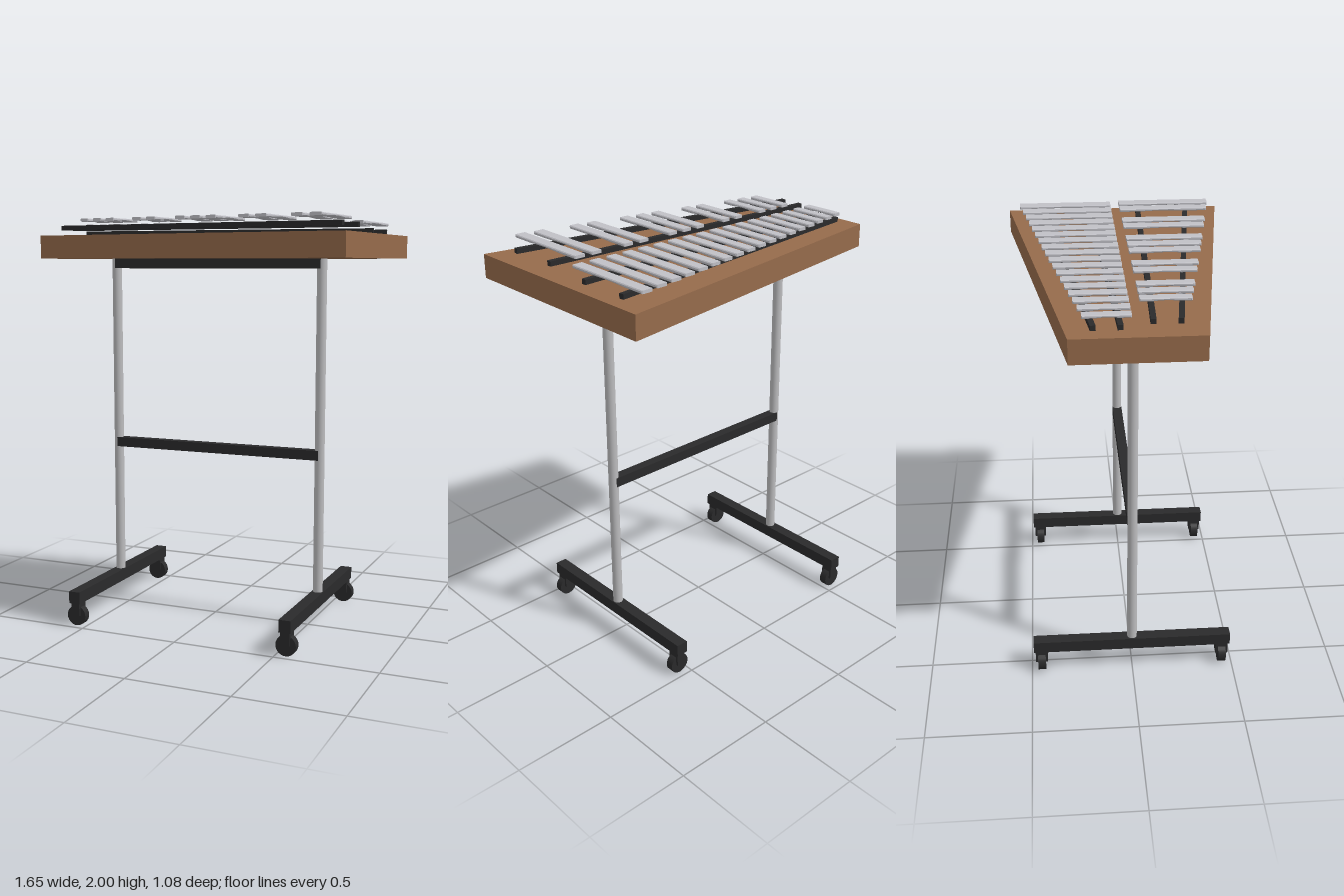
import * as THREE from 'three';

const mat = (name, color) => {
  const m = new THREE.MeshStandardMaterial({ color });
  m.name = name;
  return m;
};

export function createModel() {
  const wood = mat('wood', 0x966b4b);
  const steel = mat('steel', 0xbcbcbe);
  const barMetal = mat('barMetal', 0xc0c0c6);
  const black = mat('black', 0x2a2a2b);

  const root = new THREE.Group();
  root.name = 'glockenspielOnStand';
  const add = (name, geo, material, x = 0, y = 0, z = 0, parent = root) => {
    const m = new THREE.Mesh(geo, material);
    m.name = name;
    m.position.set(x, y, z);
    parent.add(m);
    return m;
  };

  // Tapered wooden case
  const outline = new THREE.Shape();
  outline.moveTo(-0.826, -0.285).lineTo(0.826, -0.541);
  outline.lineTo(0.826, 0.541).lineTo(-0.826, 0.285).closePath();
  const caseGeo = new THREE.ExtrudeGeometry(outline, { depth: 0.113, bevelEnabled: false });
  caseGeo.rotateX(-Math.PI / 2);
  add('woodenCase', caseGeo, wood, 0, 1.805, 0);

  // Slanted support rails: [z at narrow end, z at wide end, height]
  const rails = [
    [-0.18, -0.376, 1.935], [-0.068, -0.126, 1.935],
    [0.064, 0.121, 1.957], [0.177, 0.374, 1.957],
  ];
  for (const [z0, z1, y] of rails) {
    const run = 1.524;
    const rail = add('supportRail', new THREE.BoxGeometry(Math.hypot(run, z1 - z0), 0.023, 0.024),
      black, 0, y, (z0 + z1) / 2);
    rail.rotation.y = -Math.atan2(z1 - z0, run);
  }

  // Bevelled tone bar with a shallow arch cut in its underside
  const toneBar = (name, x, zNear, zFar, width, yBottom) => {
    const b = 0.004, thick = 0.015;
    const len = Math.abs(zFar - zNear);
    const h = len / 2 - b;
    const s = new THREE.Shape();
    s.moveTo(-h, b).lineTo(-h * 0.5, b);
    s.quadraticCurveTo(0, b + 0.007, h * 0.5, b);
    s.lineTo(h, b).lineTo(h, thick - b).lineTo(-h, thick - b).closePath();
    const geo = new THREE.ExtrudeGeometry(s, {
      depth: width - 2 * b, bevelEnabled: true, bevelSegments: 1,
      bevelSize: b, bevelThickness: b, curveSegments: 8,
    });
    geo.translate(0, 0, -(width - 2 * b) / 2);
    geo.rotateY(Math.PI / 2);
    add(name, geo, barMetal, x, yBottom, (zNear + zFar) / 2);
  };

  const barX = (i) => -0.718 + 0.0772 * i + 0.000415 * i * i;
  const barWidth = (i) => 0.045 + 0.0008 * i;

  // Back row of naturals
  for (let i = 0; i < 18; i++) {
    toneBar('naturalBar', barX(i), -0.021, -0.225 - 0.0152 * i, barWidth(i), 1.966);
  }
  // Raised front row of accidentals
  for (const i of [1, 2, 3, 5, 6, 8, 9, 10, 12, 13, 15, 16]) {
    toneBar('accidentalBar', barX(i + 0.5), 0.019, 0.239 + 0.0155 * (i - 1), barWidth(i + 0.5), 1.985);
  }

  // Crossbars between the posts
  add('upperCrossbar', new THREE.BoxGeometry(1.1, 0.048, 0.048), black, 0, 1.781, 0);
  add('lowerCrossbar', new THREE.BoxGeometry(1.1, 0.048, 0.048), black, 0, 0.859, 0);

  // Leg frames with casters
  for (const side of [-1, 1]) {
    const leg = new THREE.Group();
    leg.name = side > 0 ? 'leftLeg' : 'rightLeg';
    leg.position.x = side * 0.55;
    root.add(leg);
    add('post', new THREE.CylinderGeometry(0.024, 0.024, 1.63, 24), steel, 0, 0.99, 0, leg);
    add('foot', new THREE.BoxGeometry(0.058, 0.06, 0.976), black, 0, 0.146, 0, leg);
    for (const end of [-1, 1]) {
      add('casterFork', new THREE.BoxGeometry(0.045, 0.065, 0.06), black, 0, 0.085, end * 0.45, leg);
      const wheel = new THREE.CylinderGeometry(0.05, 0.05, 0.038, 24);
      wheel.rotateX(Math.PI / 2);
      add('casterWheel', wheel, black, 0, 0.05, end * 0.45, leg);
    }
  }
  return root;
}
